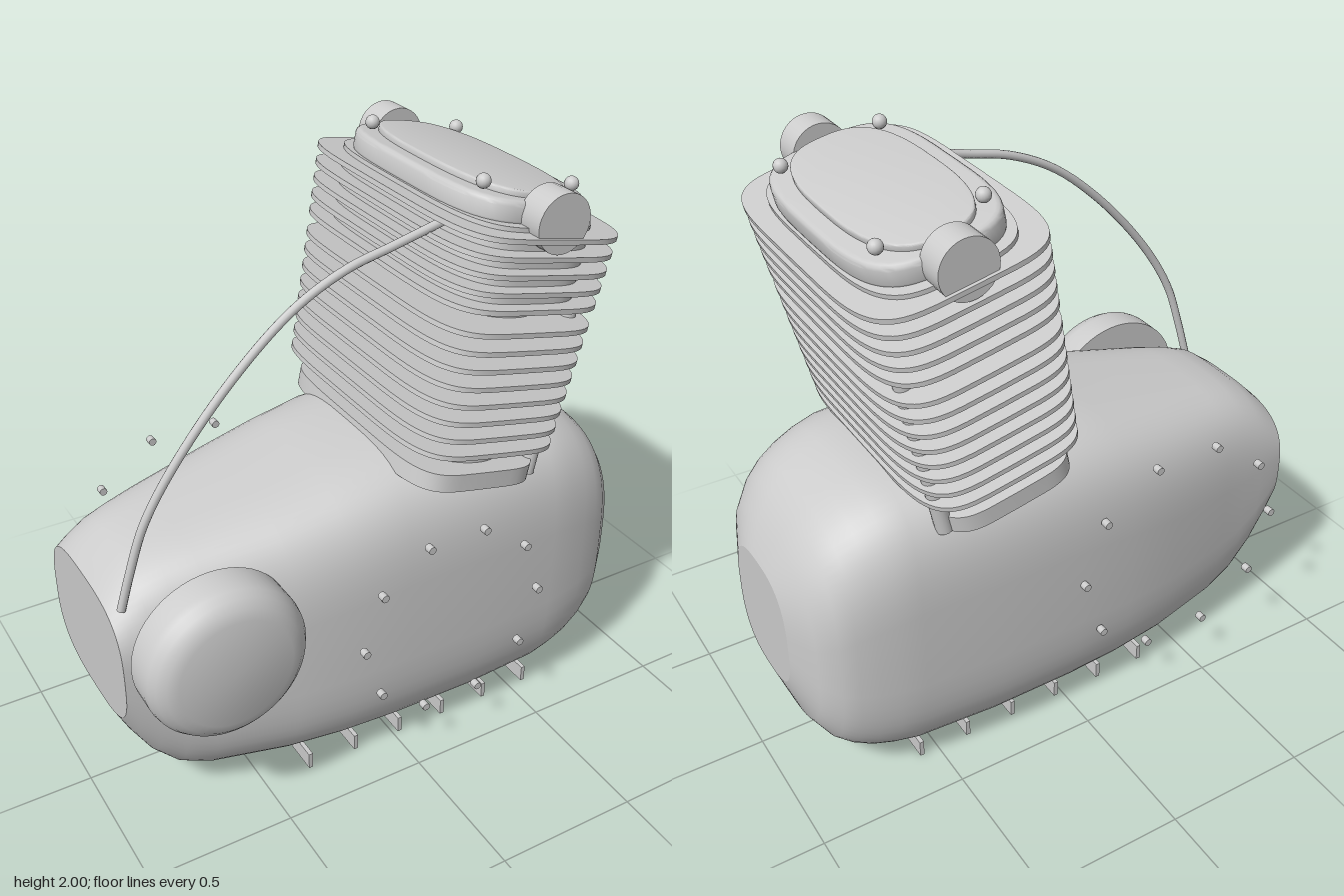
import * as THREE from 'three';
import { toCreasedNormals } from 'three/addons/utils/BufferGeometryUtils.js';

const castMetal = new THREE.MeshStandardMaterial({ color: 0xcccccc });
castMetal.name = 'cast metal';
const ZC = -0.01; // centre plane of the engine

function add(parent, name, geometry, x = 0, y = 0, z = 0) {
  const mesh = new THREE.Mesh(geometry, castMetal);
  mesh.name = name;
  mesh.position.set(x, y, z);
  parent.add(mesh);
  return mesh;
}

// Points of a superellipse with half sizes a and b
function superellipse(a, b, n, count) {
  const pow = (v) => Math.sign(v) * Math.abs(v) ** (2 / n);
  return Array.from({ length: count }, (_, i) => {
    const t = (i / count) * Math.PI * 2;
    return new THREE.Vector2(a * pow(Math.cos(t)), b * pow(Math.sin(t)));
  });
}

// Rounded slab lying in x/z, from height v0 to v1, with an optional rounded rim
function slab(a, b, v0, v1, bevel = 0, n = 5) {
  const shape = new THREE.Shape(superellipse(a - bevel, b - bevel, n, 64));
  const geo = new THREE.ExtrudeGeometry(shape, {
    depth: v1 - v0 - 2 * bevel, bevelEnabled: bevel > 0,
    bevelSize: bevel, bevelThickness: bevel, bevelSegments: 3,
  });
  geo.rotateX(-Math.PI / 2).translate(0, v0 + bevel, 0);
  return toCreasedNormals(geo, 0.6);
}

// Crankcase lofted along x; each section is [x, bottom, top, half width, squareness]
function crankcase() {
  const sections = [
    [-0.94, 0.38, 0.835, 0.3, 3], [-0.9, 0.295, 0.875, 0.307, 3.1], [-0.84, 0.19, 0.92, 0.316, 3.2],
    [-0.76, 0.105, 0.95, 0.328, 3.3], [-0.66, 0.065, 0.973, 0.347, 3.4], [-0.4, 0.038, 1.02, 0.402, 3.5],
    [-0.2, 0.028, 1.06, 0.425, 3.6], [0, 0.022, 1.098, 0.437, 3.6], [0.3, 0.022, 1.102, 0.44, 3.6],
    [0.58, 0.03, 1.085, 0.425, 3.6], [0.66, 0.042, 1.066, 0.415, 3.5], [0.73, 0.06, 1.038, 0.402, 3.4],
    [0.79, 0.09, 1.002, 0.386, 3.3], [0.84, 0.13, 0.955, 0.365, 3.2], [0.895, 0.21, 0.88, 0.315, 3],
    [0.94, 0.34, 0.775, 0.195, 2.8],
  ];
  const N = 64, pos = [], idx = [];
  const ring = ([x, y0, y1, w, n]) => {
    for (const p of superellipse(w, (y1 - y0) / 2, n, N)) pos.push(x, (y0 + y1) / 2 + p.y, ZC + p.x);
  };
  sections.forEach(ring);
  for (let s = 0; s < sections.length - 1; s++) {
    for (let i = 0; i < N; i++) {
      const a = s * N + i, b = s * N + ((i + 1) % N);
      idx.push(a, a + N, b, b, a + N, b + N);
    }
  }
  // flat end faces with their own vertices
  [sections[0], sections[sections.length - 1]].forEach((section, end) => {
    const start = pos.length / 3;
    ring(section);
    for (let i = 1; i < N - 1; i++) {
      if (end) idx.push(start, start + i + 1, start + i);
      else idx.push(start, start + i, start + i + 1);
    }
  });
  const geo = new THREE.BufferGeometry();
  geo.setAttribute('position', new THREE.Float32BufferAttribute(pos, 3));
  geo.setIndex(idx);
  geo.computeVertexNormals();
  return geo;
}

// Tilted cylinder block, built upright around its own base
function cylinderBlock() {
  const g = new THREE.Group();
  g.name = 'cylinderBlock';
  add(g, 'baseFlange', slab(0.247, 0.45, 0, 0.06));
  for (const s of [-1, 1]) {
    add(g, 'barrel', new THREE.CylinderGeometry(0.188, 0.188, 0.55, 40), 0.005, 0.313, s * 0.195);
    add(g, 'pushrodTube', new THREE.CylinderGeometry(0.028, 0.028, 0.62, 16), 0.226, 0.312, s * 0.372);
    const cap = new THREE.CylinderGeometry(0.093, 0.093, 0.1, 32).rotateX(Math.PI / 2);
    add(g, 'rockerCap', cap, 0.005, 0.89, s * 0.45);
  }
  // cooling fins grow slightly towards the head
  const levels = [];
  for (let i = 0; i < 8; i++) levels.push(0.137 + i * 0.0585);
  for (let i = 0; i < 5; i++) levels.push(0.62 + i * 0.055);
  for (const v of levels) {
    const k = (v - 0.14) / 0.7;
    add(g, v < 0.6 ? 'barrelFin' : 'headFin', slab(0.287 + 0.023 * k, 0.485 + 0.028 * k, v - 0.008, v + 0.008));
  }
  // head and its cover
  add(g, 'head', slab(0.25, 0.455, 0.615, 0.862, 0, 4));
  add(g, 'headCover', slab(0.242, 0.42, 0.85, 0.928, 0.018, 3.7));
  add(g, 'coverPlate', slab(0.182, 0.385, 0.92, 0.948, 0.006, 2.8));
  for (const u of [-1, 1]) for (const s of [-1, 1]) {
    add(g, 'coverBolt', new THREE.SphereGeometry(0.023, 16, 12), u * 0.167, 0.954, s * 0.308);
  }
  g.position.set(0.25, 1.007, ZC);
  g.rotation.z = -THREE.MathUtils.degToRad(12);
  return g;
}

export function createModel() {
  const model = new THREE.Group();
  model.name = 'engine';
  add(model, 'crankcase', crankcase());
  model.add(cylinderBlock());

  // Round side cover
  const profile = [[0, 0], [0.267, 0], [0.267, 0.085], [0.262, 0.11], [0.247, 0.135], [0.222, 0.157], [0.188, 0.169], [0, 0.172]]
    .map(([r, h]) => new THREE.Vector2(r, h)).reverse();
  const cover = new THREE.LatheGeometry(profile.reverse(), 56).rotateX(Math.PI / 2);
  add(model, 'sideCover', toCreasedNormals(cover, 0.6), -0.668, 0.698, 0.345);

  // Bolt circles on both flanks
  const boltCircle = (name, x, y, z, radius) => {
    for (let i = 0; i < 10; i++) {
      const a = (i * Math.PI) / 5;
      const bolt = new THREE.CylinderGeometry(0.0135, 0.0135, 0.027, 14).rotateX(Math.PI / 2);
      add(model, name, bolt, x + radius * Math.cos(a), y + radius * Math.sin(a), z);
    }
  };
  boltCircle('frontBolt', 0.147, 0.537, 0.459, 0.341);
  boltCircle('backBolt', -0.386, 0.58, -0.458, 0.386);

  // Sump ribs
  for (let i = 0; i < 6; i++) {
    add(model, 'sumpRib', new THREE.BoxGeometry(0.015, 0.06, 0.67), -0.33 + i * 0.1785, 0.03, -0.003);
  }

  // Oil line from the crankcase to the head
  const path = new THREE.CatmullRomCurve3([
    [-0.905, 0.835, 0.225], [-0.87, 0.97, 0.237], [-0.82, 1.127, 0.25], [-0.72, 1.3, 0.262], [-0.524, 1.53, 0.265],
    [-0.323, 1.7, 0.265], [-0.153, 1.783, 0.265], [0.005, 1.822, 0.265], [0.2, 1.87, 0.265],
  ].map((p) => new THREE.Vector3(...p)));
  add(model, 'oilLine', new THREE.TubeGeometry(path, 64, 0.014, 10));
  return model;
}
